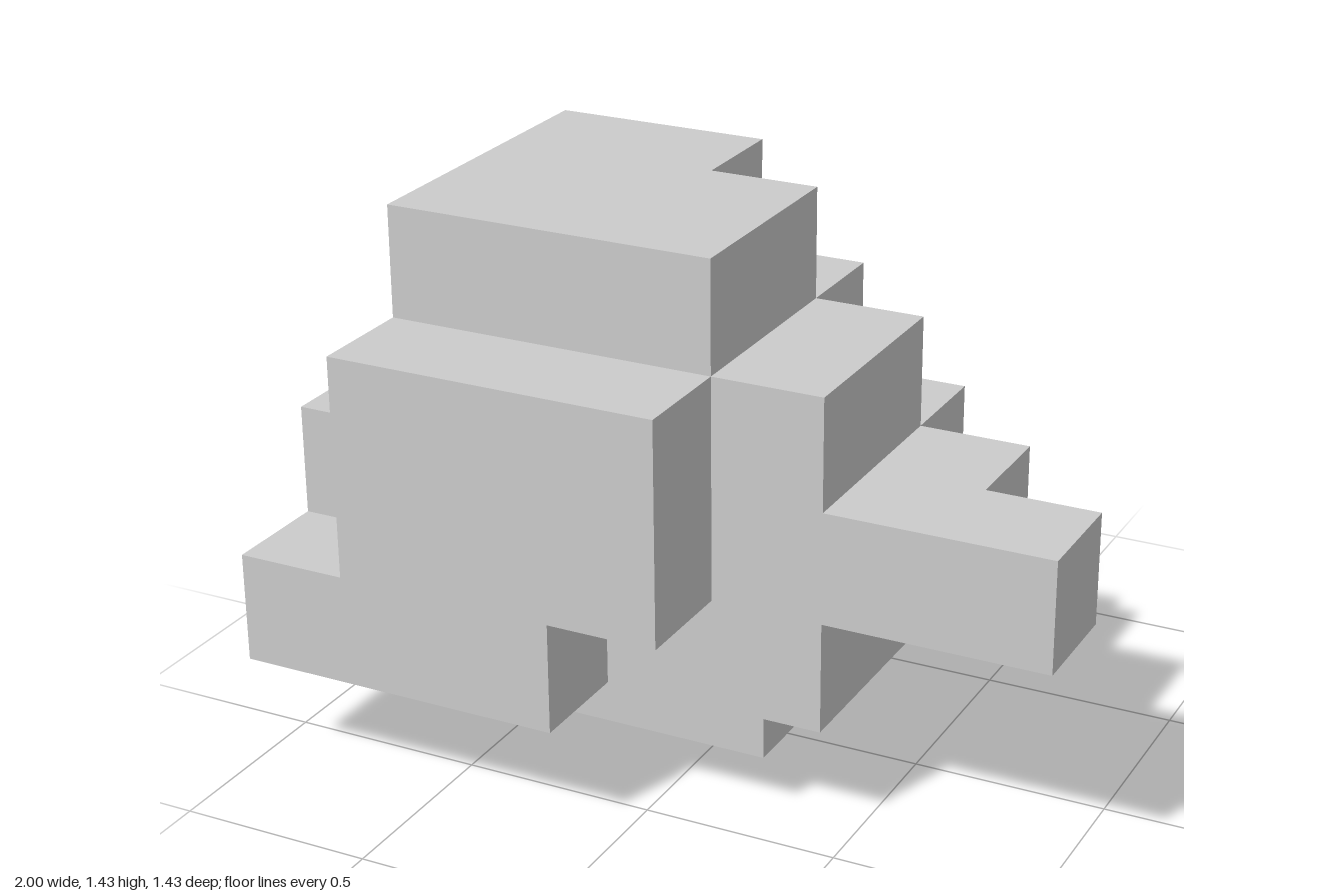
import * as THREE from 'three';

const CELL = 2 / 7;

// Layers from the ground up; each holds rows from back to front as [first x, end x] cells
const LAYERS = [
  { name: 'foot', rows: [null, [0, 2], [0, 4], null, null] },
  { name: 'lowerBody', rows: [[0, 3], [0, 4], [0, 5], [0, 5], [0, 3]] },
  { name: 'middleBodyWithArm', rows: [[0, 3], [0, 5], [0, 6], [0, 7], [1, 4]] },
  { name: 'upperBody', rows: [null, [0, 4], [1, 5], [1, 5], [1, 4]] },
  { name: 'cap', rows: [null, [1, 3], [1, 4], [1, 4], null] },
];

function filled(x, y, z) {
  const span = LAYERS[y]?.rows[z];
  return !!span && x >= span[0] && x < span[1];
}

// Outward directions, each with two in-plane axes so that u x v = n
const SIDES = [
  { n: [1, 0, 0], u: [0, 1, 0], v: [0, 0, 1] },
  { n: [-1, 0, 0], u: [0, 0, 1], v: [0, 1, 0] },
  { n: [0, 1, 0], u: [0, 0, 1], v: [1, 0, 0] },
  { n: [0, -1, 0], u: [1, 0, 0], v: [0, 0, 1] },
  { n: [0, 0, 1], u: [1, 0, 0], v: [0, 1, 0] },
  { n: [0, 0, -1], u: [0, 1, 0], v: [1, 0, 0] },
];
const CORNERS = [[-1, -1], [1, -1], [1, 1], [-1, -1], [1, 1], [-1, 1]];

// Only the exposed cell faces of one layer
function layerGeometry(y) {
  const positions = [], normals = [];
  LAYERS[y].rows.forEach((span, z) => {
    if (!span) return;
    for (let x = span[0]; x < span[1]; x++) {
      const centre = [x - 3, y + 0.5, z - 2];
      for (const { n, u, v } of SIDES) {
        if (filled(x + n[0], y + n[1], z + n[2])) continue;
        for (const [a, b] of CORNERS) {
          positions.push(...centre.map((c, i) => (c + (n[i] + a * u[i] + b * v[i]) / 2) * CELL));
          normals.push(...n);
        }
      }
    }
  });
  const geometry = new THREE.BufferGeometry();
  geometry.setAttribute('position', new THREE.Float32BufferAttribute(positions, 3));
  geometry.setAttribute('normal', new THREE.Float32BufferAttribute(normals, 3));
  return geometry;
}

export function createModel() {
  const model = new THREE.Group();
  model.name = 'steppedBlocks';
  const material = new THREE.MeshStandardMaterial({ color: 0xcccccc, flatShading: true });
  LAYERS.forEach(({ name }, y) => {
    const mesh = new THREE.Mesh(layerGeometry(y), material);
    mesh.name = name;
    model.add(mesh);
  });
  return model;
}
